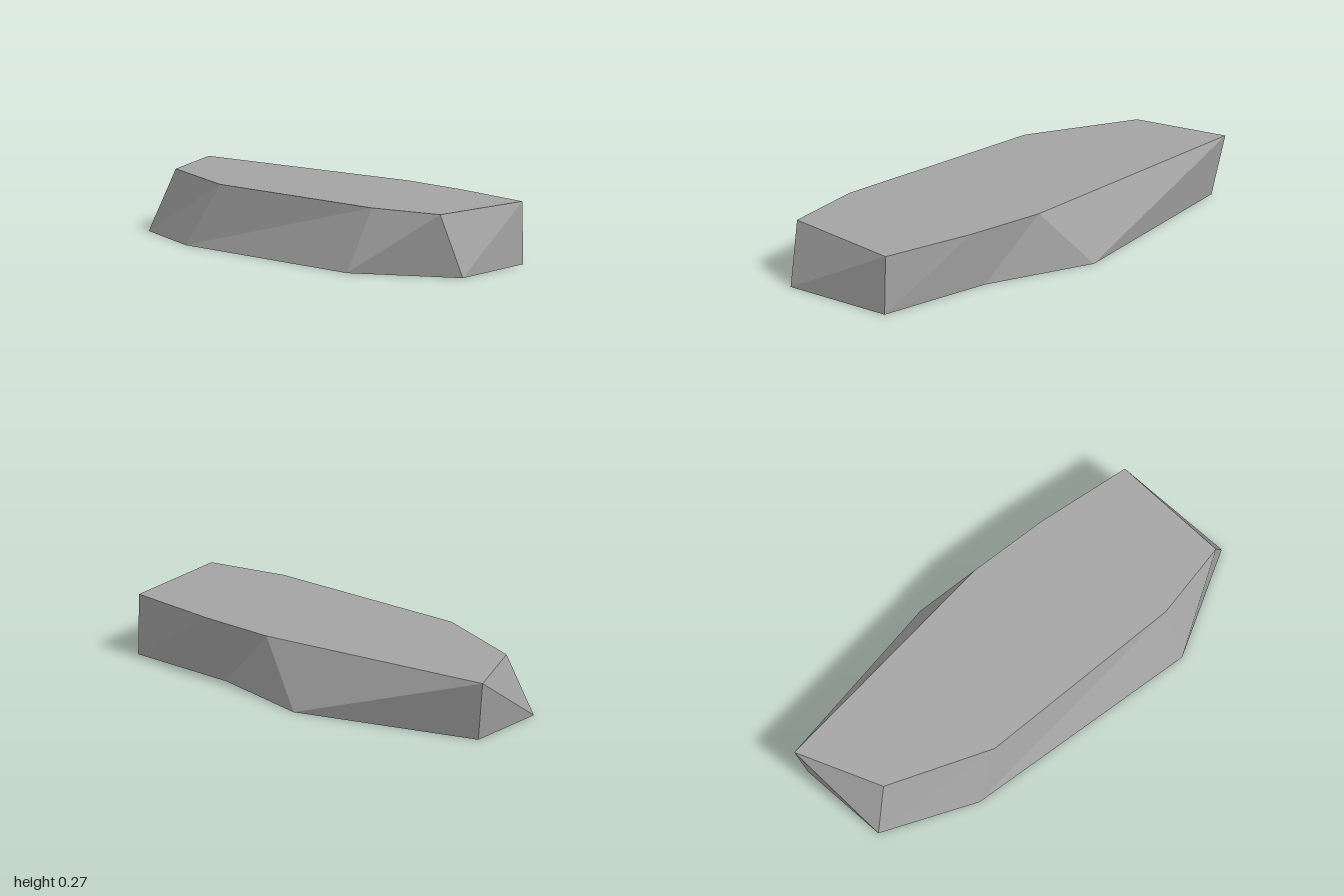
import * as THREE from 'three';

// Outlines as [x, z], running back, left, front, right
const TOP = [[0.24, -1], [-0.12, -0.82], [-0.3, -0.36], [-0.315, 0.58],
  [-0.245, 0.92], [0.275, 0.87], [0.33, 0.45], [0.35, 0.1]];
const BOTTOM = [[0.21, -0.95], [-0.19, -0.91], [-0.365, -0.5], [-0.44, 0.56],
  [-0.19, 1], [0.275, 0.875], [0.308, 0.36], [0.437, -0.125]];

export function createModel() {
  const group = new THREE.Group();
  group.name = 'rockSlab';
  const stone = new THREE.MeshStandardMaterial({ color: 0xa3a3a3 });
  stone.name = 'stone grey';

  const t = TOP.map(([x, z]) => [x, 0.268, z]);
  const b = BOTTOM.map(([x, z]) => [x, 0.003, z]);
  const n = t.length;
  const corners = [];
  const tri = (...points) => points.forEach((p) => corners.push(...p));

  // Chipped sides, each split along its crease
  for (let i = 0; i < n; i++) {
    const j = (i + 1) % n;
    if (i === 0) {
      tri(b[i], b[j], t[i]);
      tri(b[j], t[j], t[i]);
    } else {
      tri(b[i], b[j], t[j]);
      tri(b[i], t[j], t[i]);
    }
  }

  // Flat caps, fanned from the concave corner
  const hub = 6;
  for (let k = 1; k < n - 1; k++) {
    const p = (hub + k) % n;
    const q = (hub + k + 1) % n;
    tri(t[hub], t[p], t[q]);
    tri(b[hub], b[q], b[p]);
  }

  // Unshared corners give flat facets
  const geometry = new THREE.BufferGeometry();
  geometry.setAttribute('position', new THREE.Float32BufferAttribute(corners, 3));
  geometry.computeVertexNormals();

  const slab = new THREE.Mesh(geometry, stone);
  slab.name = 'slab';
  group.add(slab);
  return group;
}
